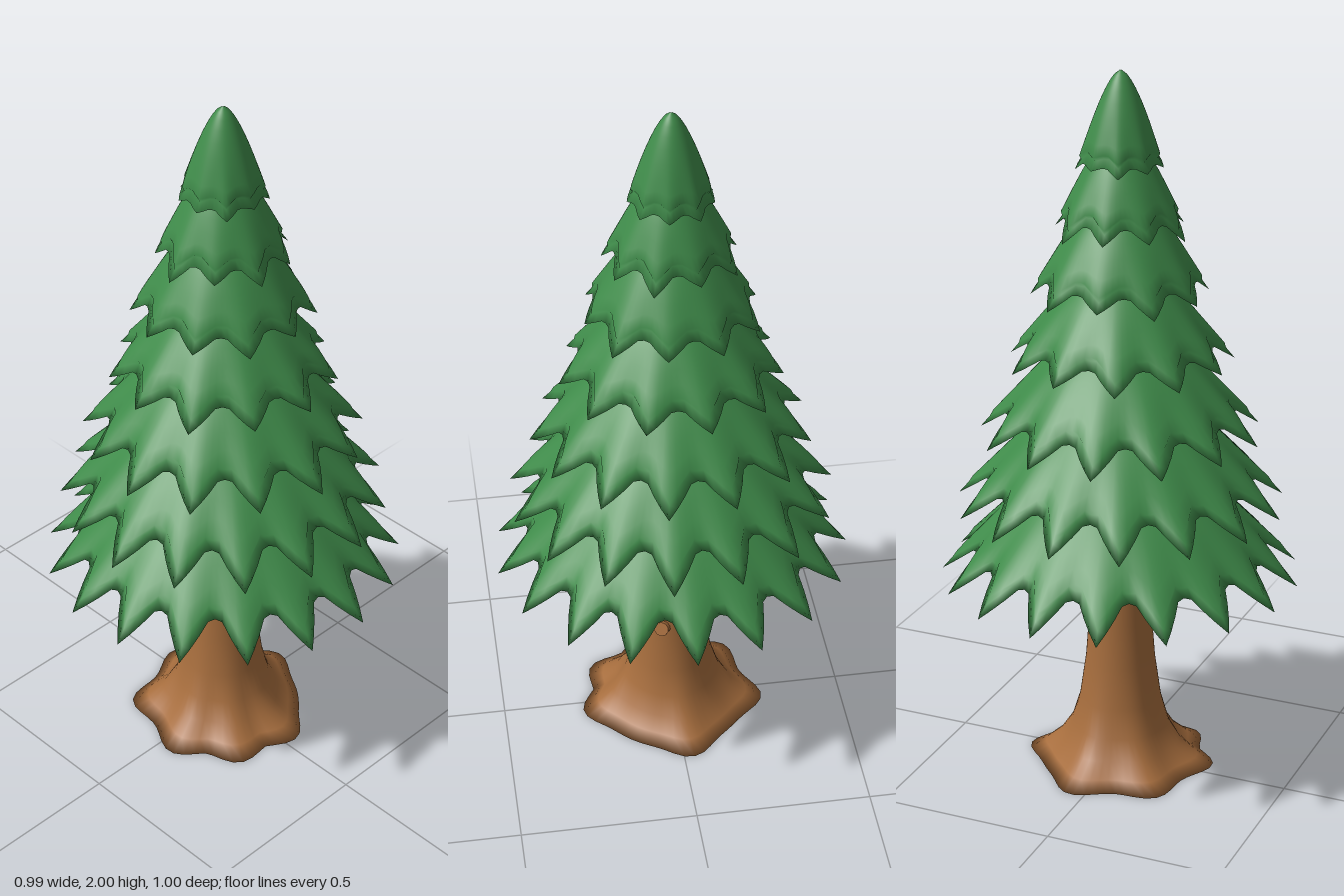
import * as THREE from 'three';

const leafGreen = new THREE.MeshStandardMaterial({ color: 0x3f8b4a });
leafGreen.name = 'leaf green';
const barkBrown = new THREE.MeshStandardMaterial({ color: 0xa66d3d });
barkBrown.name = 'bark brown';

// Smooth closed band: point(row, angle, column) gives [radius, y]; rows run from top to bottom
function ringSurface(rows, cols, point) {
  const pos = [], index = [];
  for (let j = 0; j < rows; j++) {
    for (let i = 0; i < cols; i++) {
      const a = (i / cols) * Math.PI * 2;
      const [r, y] = point(j, a, i);
      pos.push(r * Math.cos(a), y, r * Math.sin(a));
      if (j === rows - 1) continue;
      const n = (i + 1) % cols;
      const A = j * cols + i, B = j * cols + n, C = A + cols, D = B + cols;
      index.push(A, B, C, B, D, C);
    }
  }
  const g = new THREE.BufferGeometry();
  g.setAttribute('position', new THREE.Float32BufferAttribute(pos, 3));
  g.setIndex(index);
  g.computeVertexNormals();
  return g;
}

function addMesh(parent, name, geometry, material) {
  const m = new THREE.Mesh(geometry, material);
  m.name = name;
  parent.add(m);
  return m;
}

// Bough layer: thick skirt with pointed hem, outer skin, slanted rim, then inner skin
function boughGeometry({ n, top, r0, valley, tip, jitter }) {
  const steps = [0, 0.05, 0.12, 0.22, 0.35, 0.5, 0.65, 0.8, 0.92, 1];
  const last = steps.length - 1;
  return ringSurface(steps.length * 2, n * 8, (j, a, i) => {
    const inner = j > last;
    const s = steps[inner ? 2 * last + 1 - j : j];
    const outerHem = j === last;
    const spike = Math.round(i / 8) % n;
    const offset = Math.abs(((i + 4) % 8) - 4) / 8;
    const wave = Math.max(0, 1 - offset / 0.4 - (outerHem ? 0.15 : 0));
    const k = wave * (1 + jitter * Math.sin(spike * 2.4 + n)) * s ** 3;
    let r = r0 + (valley[0] - r0) * s ** 0.65 + (tip[0] - valley[0]) * k;
    let y = top + (valley[1] - top) * s + (tip[1] - valley[1]) * k;
    if (outerHem) {
      r -= 0.012;
      y += 0.008;
    } else if (inner) {
      r = s === 1 ? r + 0.003 : Math.max(r0 * 0.5, r - 0.008);
      y -= s === 1 ? 0.014 : 0.02;
    }
    return [r, y];
  });
}

export function createModel() {
  const tree = new THREE.Group();
  tree.name = 'pineTree';

  // Trunk profile [radius, height], top to underside, with roots spreading at the foot
  const profile = [
    [0.001, 1.72], [0.022, 1.7], [0.032, 1.54], [0.042, 1.38], [0.06, 1.02], [0.078, 0.65],
    [0.088, 0.45], [0.098, 0.32], [0.115, 0.2], [0.138, 0.12], [0.17, 0.065], [0.21, 0.025], [0.25, 0],
    [0.19, 0.002], [0, 0.004],
  ];
  const roots = [-6, 82, 124, 169, 225, 280].map(THREE.MathUtils.degToRad);
  addMesh(tree, 'trunk', ringSurface(profile.length, 56, (j, a) => {
    const [r, y] = profile[j];
    const spread = Math.max(0, 1 - y / 0.25) ** 2;
    const bump = Math.max(...roots.map((c) => Math.exp((Math.cos(a - c) - 1) / 0.04)));
    return [r * (1 + spread * (0.18 * bump - 0.1)), y];
  }), barkBrown);

  // Cut branch stubs: [x, y, z]
  const stubs = [[-0.088, 0.44, 0.02], [0.083, 0.352, 0.035], [0.01, 0.55, -0.09]];
  stubs.forEach(([x, y, z], i) => {
    const stub = addMesh(tree, 'branchStub' + (i + 1), new THREE.CylinderGeometry(0.021, 0.024, 0.05, 10), barkBrown);
    stub.position.set(x, y, z);
    const dir = new THREE.Vector3(x, 0, z).normalize().setY(0.4).normalize();
    stub.quaternion.setFromUnitVectors(new THREE.Vector3(0, 1, 0), dir);
  });

  // Bough layers from the crown down; turn is the angle of the first spike in degrees
  const layers = [
    { n: 9, turn: 50, top: 2.0, r0: 0.002, valley: [0.104, 1.775], tip: [0.115, 1.757], jitter: 0.4 },
    { n: 9, turn: 102, top: 1.84, r0: 0.012, valley: [0.15, 1.625], tip: [0.178, 1.583], jitter: 0.25 },
    { n: 10, turn: 154, top: 1.69, r0: 0.015, valley: [0.203, 1.455], tip: [0.239, 1.41], jitter: 0.2 },
    { n: 11, turn: 20.6, top: 1.5, r0: 0.02, valley: [0.248, 1.27], tip: [0.304, 1.22], jitter: 0.08 },
    { n: 13, turn: 9.2, top: 1.33, r0: 0.025, valley: [0.308, 1.08], tip: [0.384, 1.015], jitter: 0.03 },
    { n: 15, turn: 7.3, top: 1.155, r0: 0.03, valley: [0.362, 0.885], tip: [0.452, 0.81], jitter: 0.02 },
    { n: 17, turn: 0, top: 0.965, r0: 0.035, valley: [0.402, 0.68], tip: [0.497, 0.596], jitter: 0 },
  ];
  layers.forEach((layer, i) => {
    const bough = addMesh(tree, 'boughLayer' + (i + 1), boughGeometry(layer), leafGreen);
    bough.rotation.y = -THREE.MathUtils.degToRad(layer.turn);
  });
  return tree;
}
